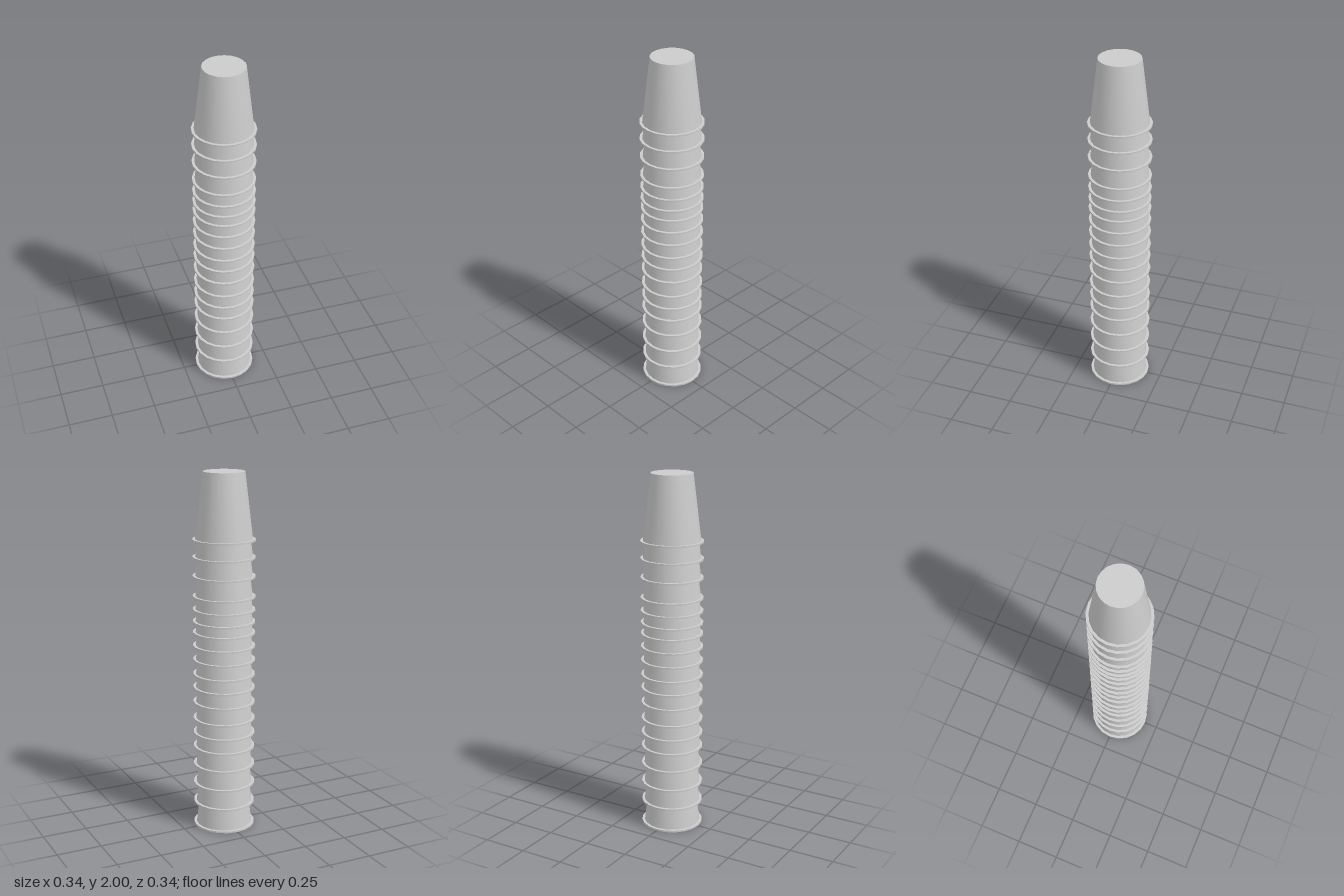
import * as THREE from 'three';
import { toCreasedNormals } from 'three/addons/utils/BufferGeometryUtils.js';

// Height of each upturned cup's rim in the stack
const RIM_HEIGHTS = [
  0, 0.132, 0.245, 0.357, 0.462, 0.543, 0.627, 0.722, 0.807, 0.883,
  0.966, 1.045, 1.12, 1.181, 1.248, 1.321, 1.432, 1.536, 1.631,
];
const CUP_HEIGHT = 0.369;
const SIDES = 20;

// Closed-walled cup standing on its rim, open underneath
function cupGeometry() {
  const profile = [
    [0, CUP_HEIGHT - 0.012],      // inside of the base
    [0.1, CUP_HEIGHT - 0.012],
    [0.142, 0],                   // inner wall down to the mouth
    [0.172, 0],                   // rim underside
    [0.172, 0.01],                // rim edge
    [0.157, 0.01],                // rim top
    [0.114, CUP_HEIGHT],          // outer wall
    [0, CUP_HEIGHT],              // base
  ].map(([r, y]) => new THREE.Vector2(r, y));
  return toCreasedNormals(new THREE.LatheGeometry(profile, SIDES), 0.6);
}

export function createModel() {
  const model = new THREE.Group();
  model.name = 'cupStack';
  const geometry = cupGeometry();
  const material = new THREE.MeshStandardMaterial({ color: 0xcccccc });

  RIM_HEIGHTS.forEach((y, i) => {
    const cup = new THREE.Mesh(geometry, material);
    cup.name = `cup${i + 1}`;
    cup.position.y = y;
    model.add(cup);
  });
  return model;
}
